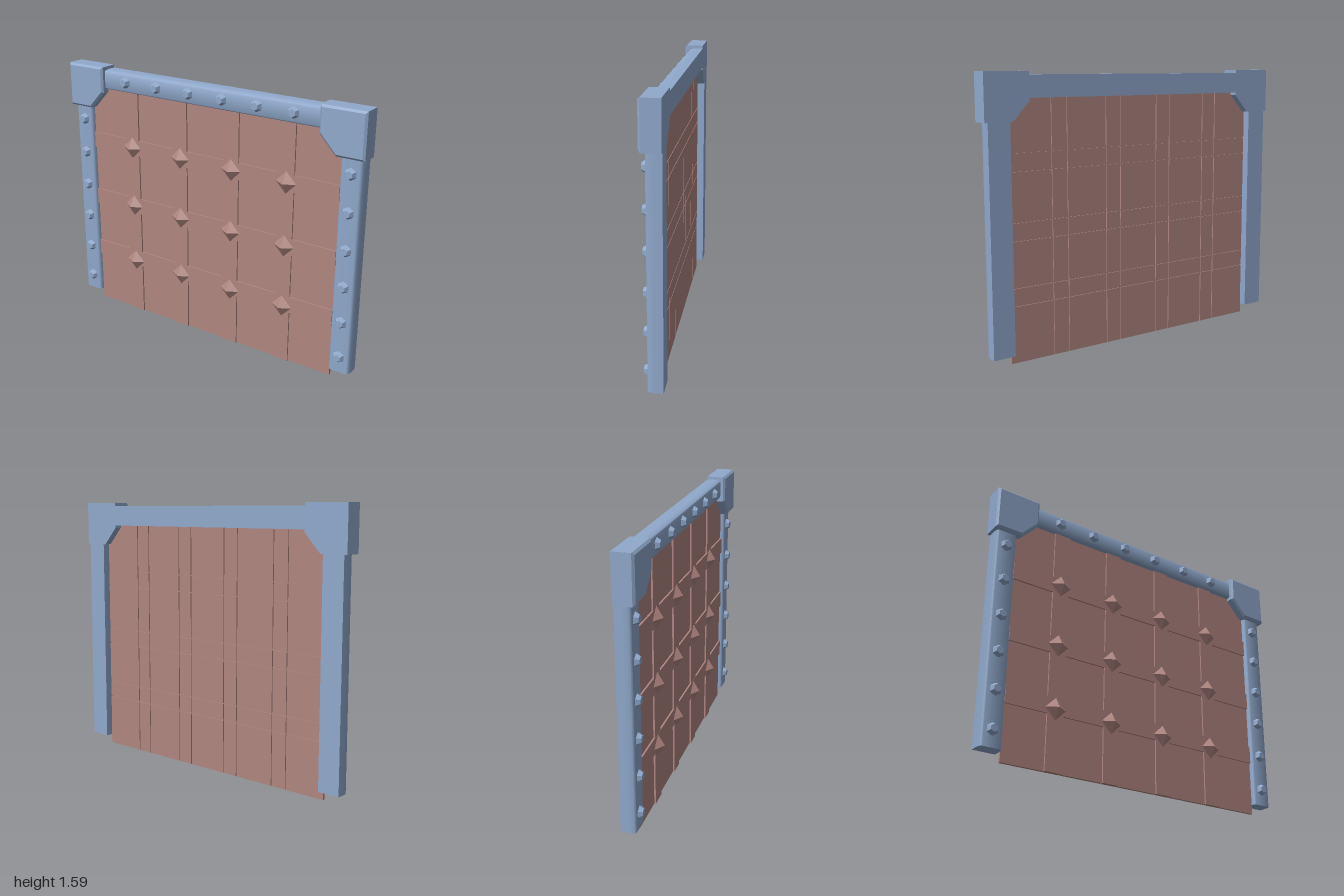
import * as THREE from 'three';
import { toCreasedNormals } from 'three/addons/utils/BufferGeometryUtils.js';

const steel = new THREE.MeshStandardMaterial({ color: 0x90a9cc });
steel.name = 'blue steel';
const wood = new THREE.MeshStandardMaterial({ color: 0xb08680 });
wood.name = 'reddish panel';

const BACK = -0.057, FRAME_FRONT = 0.028, PANEL = 0.0125;
const STRAP_X = [-0.55, -0.19, 0.17, 0.53];
const STRAP_Y = [0.37, 0.73, 1.107];
const STRAP_W = 0.1, PANEL_HALF = 0.853, PANEL_TOP = 1.47;

function add(parent, name, geometry, material, x = 0, y = 0, z = 0) {
  const mesh = new THREE.Mesh(geometry, material);
  mesh.name = name;
  mesh.position.set(x, y, z);
  parent.add(mesh);
  return mesh;
}

// Box given by its limits
function slab(parent, name, x0, x1, y0, y1, z0, z1) {
  add(parent, name, new THREE.BoxGeometry(x1 - x0, y1 - y0, z1 - z0), wood,
    (x0 + x1) / 2, (y0 + y1) / 2, (z0 + z1) / 2);
}

// Bar along y with a flat back and softly rounded front edges
function barGeometry(width, length) {
  const w = width / 2, a = 0.015, b = 0.045;
  const s = new THREE.Shape();
  s.moveTo(-w, -BACK);
  s.lineTo(-w, -FRAME_FRONT + b);
  s.absellipse(-w + a, -FRAME_FRONT + b, a, b, Math.PI, Math.PI * 1.5, false);
  s.lineTo(w - a, -FRAME_FRONT);
  s.absellipse(w - a, -FRAME_FRONT + b, a, b, Math.PI * 1.5, Math.PI * 2, false);
  s.lineTo(w, -BACK);
  const g = new THREE.ExtrudeGeometry(s, { depth: length, bevelEnabled: false, curveSegments: 6 });
  g.rotateX(-Math.PI / 2);
  return toCreasedNormals(g, 0.7);
}

// Corner block with one cut corner, bevelled on the front only
function cornerGeometry(side) {
  const pts = [[1, 1.585], [0.735, 1.585], [0.735, 1.43], [0.835, 1.323], [1, 1.323]];
  const shape = new THREE.Shape(pts.map(([x, y]) => new THREE.Vector2(x * side, y)));
  const bevel = 0.012;
  const g = new THREE.ExtrudeGeometry(shape, {
    depth: -BACK * 2 - bevel, bevelEnabled: true, bevelSegments: 1,
    bevelThickness: bevel, bevelSize: bevel, bevelOffset: -bevel,
  });
  const p = g.attributes.position;
  for (let i = 0; i < p.count; i++) p.setZ(i, Math.max(0, p.getZ(i)) + BACK);
  g.computeVertexNormals();
  return g;
}

// Spans left between the straps
function spans(start, end, centres) {
  const edges = [start, ...centres.flatMap(c => [c - STRAP_W / 2, c + STRAP_W / 2]), end];
  return edges.slice(1).map((e, i) => [edges[i], e]);
}

export function createModel() {
  const model = new THREE.Group();
  model.name = 'gate';

  // Panel: core sheet with fine seams on the back
  const panel = new THREE.Group();
  panel.name = 'panel';
  model.add(panel);
  slab(panel, 'panelSheet', -PANEL_HALF, PANEL_HALF, 0, PANEL_TOP, -0.006, 0.003);
  const columns = spans(-PANEL_HALF, PANEL_HALF, STRAP_X);
  const rows = spans(0, PANEL_TOP, STRAP_Y);
  const gap = 0.003;
  columns.forEach(([x0, x1], i) => rows.forEach(([y0, y1], j) => {
    slab(panel, 'backTile',
      i ? x0 + gap : x0, i < columns.length - 1 ? x1 - gap : x1,
      j ? y0 + gap : y0, j < rows.length - 1 ? y1 - gap : y1, -PANEL, -0.006);
  }));

  // Raised straps on the front
  for (const x of STRAP_X) {
    slab(panel, 'verticalStrap', x - STRAP_W / 2, x + STRAP_W / 2, 0, PANEL_TOP, 0, PANEL);
  }
  for (const y of STRAP_Y) {
    slab(panel, 'horizontalStrap', -PANEL_HALF, PANEL_HALF,
      y - STRAP_W / 2, y + STRAP_W / 2, 0, PANEL + 0.0005);
  }

  // Four-sided spikes where straps cross
  const spike = new THREE.ConeGeometry(0.066, 0.041, 4).toNonIndexed();
  spike.rotateX(Math.PI / 2);
  spike.computeVertexNormals();
  for (const x of STRAP_X) {
    for (const y of [0.353, 0.73, 1.107]) add(panel, 'spike', spike, wood, x, y, 0.0325);
  }

  // Frame: two posts, a top beam and corner blocks
  const frame = new THREE.Group();
  frame.name = 'frame';
  model.add(frame);
  const post = barGeometry(0.13, 1.3);
  for (const side of [-1, 1]) {
    add(frame, side > 0 ? 'leftPost' : 'rightPost', post, steel, side * 0.917, 0.057, 0);
    add(frame, side > 0 ? 'leftCorner' : 'rightCorner', cornerGeometry(side), steel);
  }
  const beam = add(frame, 'topBeam', barGeometry(0.122, 1.52), steel, 0.76, 1.506, 0);
  beam.rotation.z = Math.PI / 2;

  // Tapered hexagonal bolts
  const bolt = new THREE.CylinderGeometry(0.022, 0.037, 0.026, 6).toNonIndexed();
  bolt.rotateX(Math.PI / 2);
  bolt.computeVertexNormals();
  for (let i = 0; i < 6; i++) {
    for (const side of [-1, 1]) {
      add(frame, 'postBolt', bolt, steel, side * 0.917, 0.155 + i * 0.2165, 0.039);
    }
    add(frame, 'beamBolt', bolt, steel, -0.576 + i * 0.2295, 1.51, 0.039);
  }

  return model;
}
